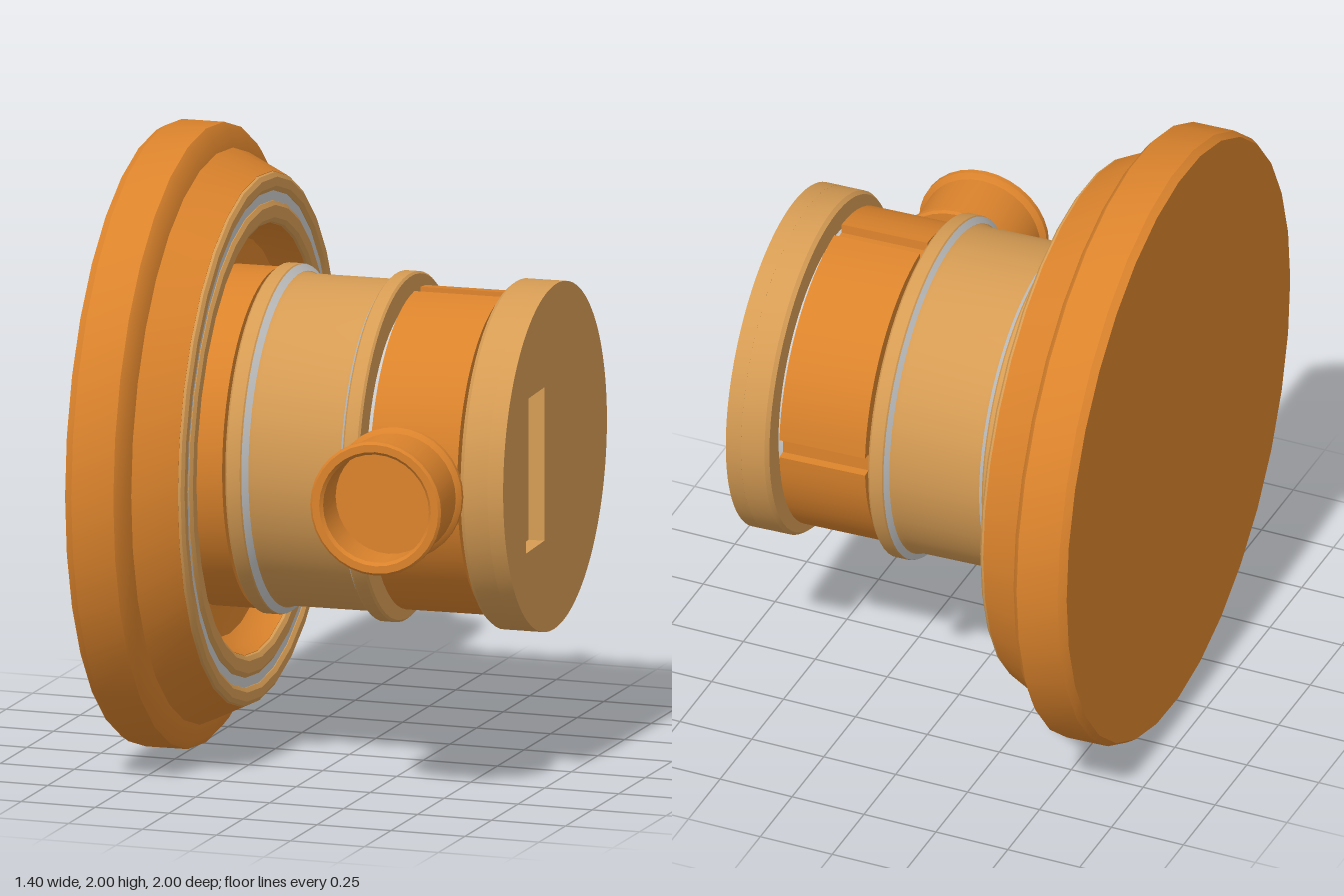
import * as THREE from 'three';
import { toCreasedNormals } from 'three/addons/utils/BufferGeometryUtils.js';

const orange = new THREE.MeshStandardMaterial({ color: 0xdb832c });
const tan = new THREE.MeshStandardMaterial({ color: 0xd69c54 });
const grey = new THREE.MeshStandardMaterial({ color: 0xcccccc });

function add(parent, name, geometry, material) {
  const mesh = new THREE.Mesh(toCreasedNormals(geometry, 0.5), material);
  mesh.name = name;
  parent.add(mesh);
  return mesh;
}

// Turned part: profile of [radius, position along the axis], axis laid along +x
function turned(profile, sides = 64) {
  const points = profile.map(([r, s]) => new THREE.Vector2(r, s));
  return new THREE.LatheGeometry(points, sides).rotateZ(-Math.PI / 2);
}

// Flat outline extruded along +x, starting at the given position
function slab(shape, start, length) {
  return new THREE.ExtrudeGeometry(shape, { depth: length, bevelEnabled: false, curveSegments: 64 })
    .rotateY(Math.PI / 2).translate(start, 0, 0);
}

export function createModel() {
  const model = new THREE.Group();
  model.name = 'steppedDrumWithSpout';
  model.position.set(0, 1, -0.035);
  model.rotation.y = 0.046;

  // Large dished plate
  add(model, 'basePlate', turned([
    [0, -0.655], [0.985, -0.655], [1, -0.63], [1, -0.49], [0.975, -0.47], [0.92, -0.455],
    [0.855, -0.32], [0.69, -0.32], [0.675, -0.37], [0.64, -0.41], [0.55, -0.42], [0, -0.42],
  ], 32), orange);

  // Two rounded beads on the plate's front with a pale groove between
  for (const [name, outer, inner] of [['outerBead', 0.855, 0.79], ['innerBead', 0.765, 0.69]]) {
    add(model, name, turned([
      [outer, -0.325], [outer - 0.004, -0.312], [outer - 0.018, -0.303],
      [inner + 0.018, -0.303], [inner + 0.004, -0.312], [inner, -0.325],
    ], 32), tan);
  }
  add(model, 'beadGroove', turned([[0.8, -0.314], [0.755, -0.314]], 32), grey);

  // Body
  const body = new THREE.Group();
  body.name = 'body';
  body.position.y = 0.008;
  model.add(body);
  add(body, 'core', turned([[0, -0.42], [0.47, -0.42], [0.47, 0.54], [0, 0.54]]), grey);
  add(body, 'rearCollar', turned([[0.545, -0.42], [0.545, -0.268], [0.4, -0.268]]), orange);
  add(body, 'barrel', turned([
    [0.4, -0.255], [0.553, -0.255], [0.56, -0.248], [0.56, -0.205], [0.555, -0.2], [0.535, -0.185],
    [0.53, -0.17], [0.53, 0.11], [0.535, 0.125], [0.555, 0.135], [0.56, 0.14], [0.56, 0.182],
    [0.553, 0.189], [0.4, 0.189],
  ]), tan);
  // Pale bevels inside the barrel's two rims
  add(body, 'rearBevel', turned([[0.558, -0.2], [0.537, -0.183]]), grey);
  add(body, 'frontBevel', turned([[0.537, 0.123], [0.558, 0.135]]), grey);

  // Drum with four lengthwise grooves
  const drumShape = new THREE.Shape();
  const radius = 0.517, half = 0.063, depth = 0.03;
  for (let q = 0; q < 4; q++) {
    const a = q * Math.PI / 2;
    for (const t of [a - half, a + half]) {
      const r = radius - depth, x = r * Math.cos(t), y = r * Math.sin(t);
      if (q === 0 && t < a) drumShape.moveTo(x, y); else drumShape.lineTo(x, y);
    }
    for (let i = 0; i <= 16; i++) {
      const t = a + half + (Math.PI / 2 - 2 * half) * i / 16;
      drumShape.lineTo(radius * Math.cos(t), radius * Math.sin(t));
    }
  }
  add(body, 'groovedDrum', slab(drumShape, 0.214, 0.292), orange);

  // End cap with a rectangular recess
  const capShape = new THREE.Shape().absarc(0, 0, 0.56, 0, Math.PI * 2);
  capShape.holes.push(new THREE.Path([[-0.316, -0.25], [-0.116, -0.25], [-0.116, 0.25], [-0.316, 0.25]]
    .map(([x, y]) => new THREE.Vector2(x, y))));
  add(body, 'endCap', slab(capShape, 0.62, 0.052), tan);
  add(body, 'endCapBase', turned([[0, 0.527], [0.55, 0.527], [0.56, 0.54], [0.56, 0.62], [0, 0.62]]), tan);

  // Side spout: short neck and open flanged cup, turned to face the front
  const spout = new THREE.Group();
  spout.name = 'spout';
  spout.position.x = 0.352;
  spout.rotation.y = -Math.PI / 2;
  body.add(spout);
  add(spout, 'spoutNeck', turned([[0, 0.45], [0.132, 0.45], [0.132, 0.625], [0, 0.625]], 32), tan);
  add(spout, 'spoutCore', turned([[0.1, 0.6], [0.1, 0.66]], 32), grey);
  add(spout, 'spoutCup', turned([
    [0, 0.645], [0.208, 0.645], [0.216, 0.652], [0.216, 0.668], [0.208, 0.676], [0.2, 0.682],
    [0.2, 0.868], [0.208, 0.874], [0.218, 0.88], [0.218, 0.898], [0.21, 0.905], [0.186, 0.905],
    [0.176, 0.895], [0.176, 0.76], [0, 0.76],
  ], 32), orange);
  return model;
}
